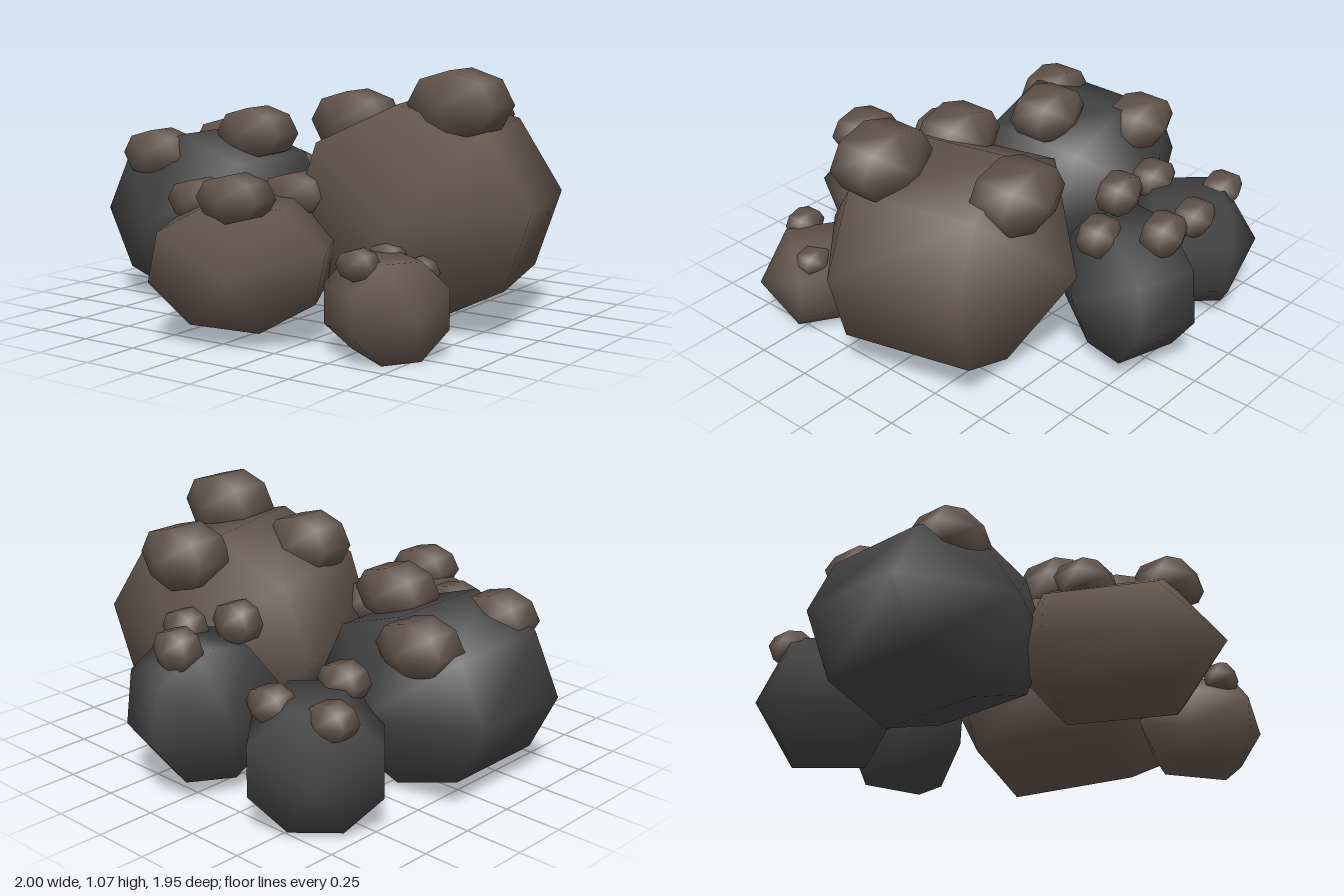
import * as THREE from 'three';

// Half width of an octagonal ring at 60 degrees from the pole
const RING = Math.sin(Math.PI / 3);

// Coarse smooth stone with its poles along z; roll turns the octagon before stretching
function stone(name, material, position, radii, yaw, roll) {
  const geometry = new THREE.SphereGeometry(1, 8, 3);
  geometry.rotateX(Math.PI / 2).rotateZ(roll).scale(...radii);
  const mesh = new THREE.Mesh(geometry, material);
  mesh.name = name;
  mesh.position.set(...position);
  mesh.rotation.y = yaw;
  return mesh;
}

export function createModel() {
  const model = new THREE.Group();
  model.name = 'boulderCluster';
  const brown = new THREE.MeshStandardMaterial({ color: 0x62544c });
  brown.name = 'brownStone';
  const dark = new THREE.MeshStandardMaterial({ color: 0x434343 });
  dark.name = 'charcoalStone';

  // A boulder with brown lumps on top, each lump given as x, y, z and half width
  function addBoulder(name, material, position, radii, yaw, roll, lumpHeight, lumps) {
    const group = new THREE.Group();
    group.name = name;
    group.add(stone('boulder', material, position, radii, yaw, roll));
    for (const [x, y, z, size] of lumps) {
      const lumpRadii = [size / RING, size * lumpHeight / RING, size * 0.9];
      group.add(stone('lump', brown, [x, y, z], lumpRadii, 0, 0));
    }
    model.add(group);
  }

  const flatBase = Math.PI / 8;

  addBoulder('largeBrownBoulder', brown, [0.44, 0.485, -0.07], [0.583, 0.514, 0.558], 0.254, 0.11, 0.72,
    [[0.67, 0.93, 0.075, 0.195], [0.2, 0.84, 0.105, 0.175], [0.425, 0.84, -0.405, 0.19]]);

  addBoulder('largeDarkBoulder', dark, [-0.565, 0.39, 0.075], [0.502, 0.416, 0.475], 0, 0, 0.68,
    [[-0.345, 0.75, 0.07, 0.165], [-0.68, 0.66, -0.18, 0.165], [-0.69, 0.66, 0.31, 0.155]]);

  addBoulder('frontBrownBoulder', brown, [-0.02, 0.32, 0.575], [0.415, 0.306, 0.445], 0.489, 0.25, 0.64,
    [[-0.225, 0.54, 0.6, 0.13], [0.09, 0.595, 0.775, 0.145], [0.055, 0.55, 0.325, 0.14]]);

  addBoulder('smallBrownBoulder', brown, [0.615, 0.195, 0.525], [0.25, 0.24, 0.275], 1.0, flatBase, 0.75,
    [[0.58, 0.375, 0.665, 0.08], [0.72, 0.33, 0.465, 0.077], [0.55, 0.36, 0.42, 0.075]]);

  addBoulder('rearRightDarkBoulder', dark, [-0.51, 0.275, -0.58], [0.325, 0.315, 0.31], 0.74, flatBase, 0.75,
    [[-0.66, 0.49, -0.65, 0.1], [-0.385, 0.49, -0.695, 0.1], [-0.49, 0.53, -0.405, 0.105]]);

  addBoulder('rearLeftDarkBoulder', dark, [0.04, 0.36, -0.67], [0.335, 0.35, 0.268], 1.26, -0.27, 0.87,
    [[0.015, 0.64, -0.815, 0.1], [-0.045, 0.7, -0.55, 0.1], [0.185, 0.635, -0.625, 0.095]]);

  return model;
}
